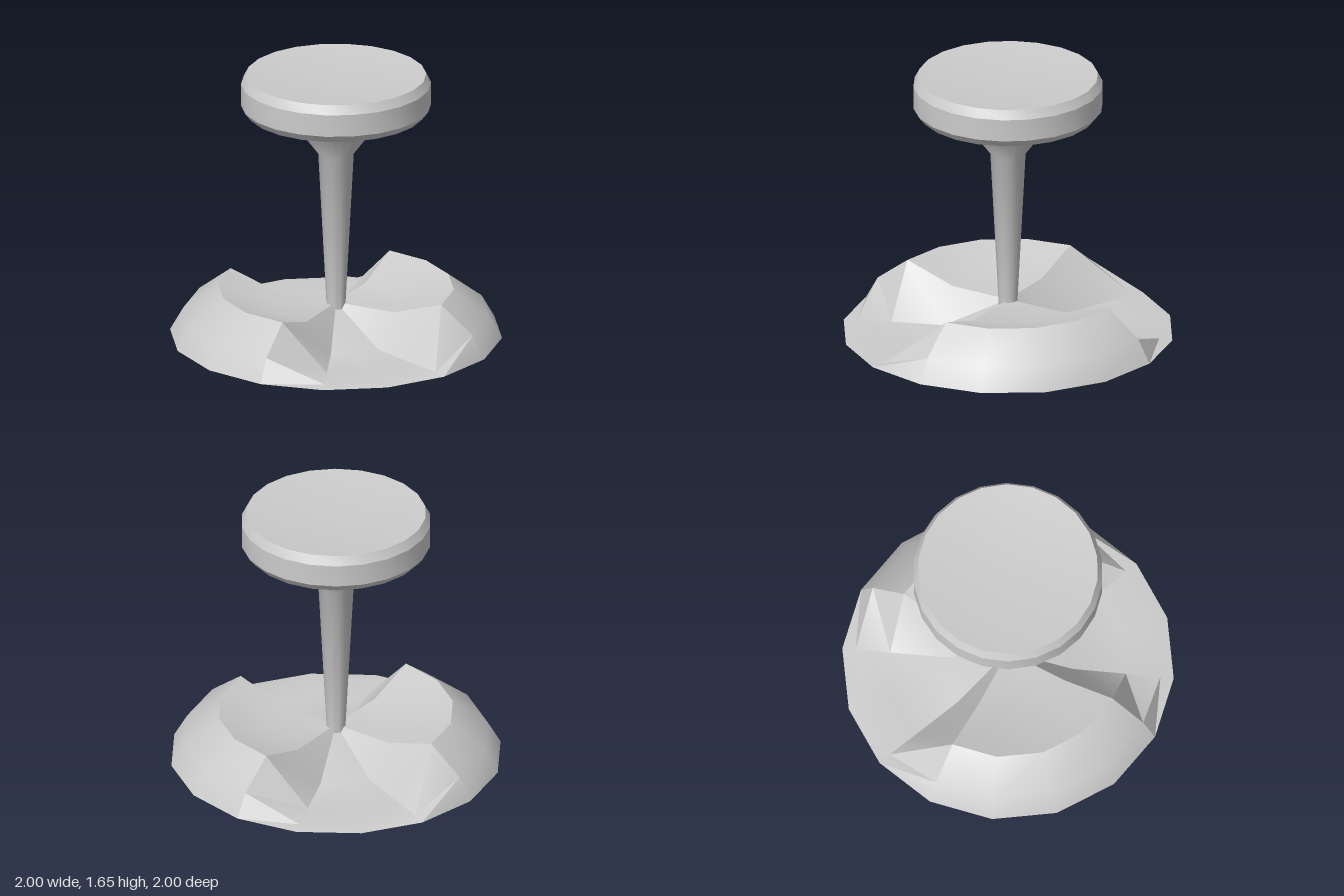
import * as THREE from 'three';
import { toCreasedNormals } from 'three/addons/utils/BufferGeometryUtils.js';

const material = new THREE.MeshStandardMaterial({ color: 0xcccccc, side: THREE.DoubleSide });

function addPart(group, name, geometry, crease) {
  const mesh = new THREE.Mesh(toCreasedNormals(geometry, crease), material);
  mesh.name = name;
  group.add(mesh);
}

// Turned part; one corner of the polygon points along x
function turned(profile, sides = 22) {
  const points = profile.map(([r, y]) => new THREE.Vector2(r, y));
  const geometry = new THREE.LatheGeometry(points, sides, Math.PI / 2);
  geometry.deleteAttribute('uv');
  geometry.deleteAttribute('normal');
  return geometry;
}

// Open shell: raised lobes at left and right, low channels at front and back
function baseShell() {
  const sides = 16;
  const radii = [0.39, 0.71, 0.92, 1];
  const lobe = [0.2, 0.3, 0.14, 0];
  const channel = [0.005, 0.005, 0.008, 0];
  const positions = [0, 0.2, 0];
  const index = [];
  for (let i = 0; i < sides; i++) {
    const a = (i / sides) * Math.PI * 2;
    const low = Math.abs(Math.sin(a)) > 0.8;
    radii.forEach((r, k) => {
      positions.push(r * Math.cos(a), (low ? channel : lobe)[k], r * Math.sin(a));
    });
  }
  const id = (i, k) => 1 + (i % sides) * radii.length + k;
  for (let i = 0; i < sides; i++) {
    index.push(0, id(i + 1, 0), id(i, 0));
    for (let k = 0; k < radii.length - 1; k++) {
      const a = id(i, k), b = id(i + 1, k), c = id(i + 1, k + 1), d = id(i, k + 1);
      index.push(a, b, c, a, c, d);
    }
  }
  const geometry = new THREE.BufferGeometry();
  geometry.setAttribute('position', new THREE.Float32BufferAttribute(positions, 3));
  geometry.setIndex(index);
  return geometry;
}

export function createModel() {
  const group = new THREE.Group();
  group.name = 'pedestalStool';

  addPart(group, 'base', baseShell(), 0.5);

  // Tapered stem flaring out under the seat, its foot passing through the base
  addPart(group, 'stem', turned([
    [0, 0.13], [0.054, 0.13], [0.107, 1.155], [0.28, 1.387],
  ]), 0.7);

  // Round seat with bevelled edges and a shallow dished top
  addPart(group, 'seat', turned([
    [0.28, 1.387], [0.535, 1.417], [0.571, 1.463], [0.571, 1.6], [0.542, 1.655], [0, 1.6],
  ]), 0.45);

  return group;
}
